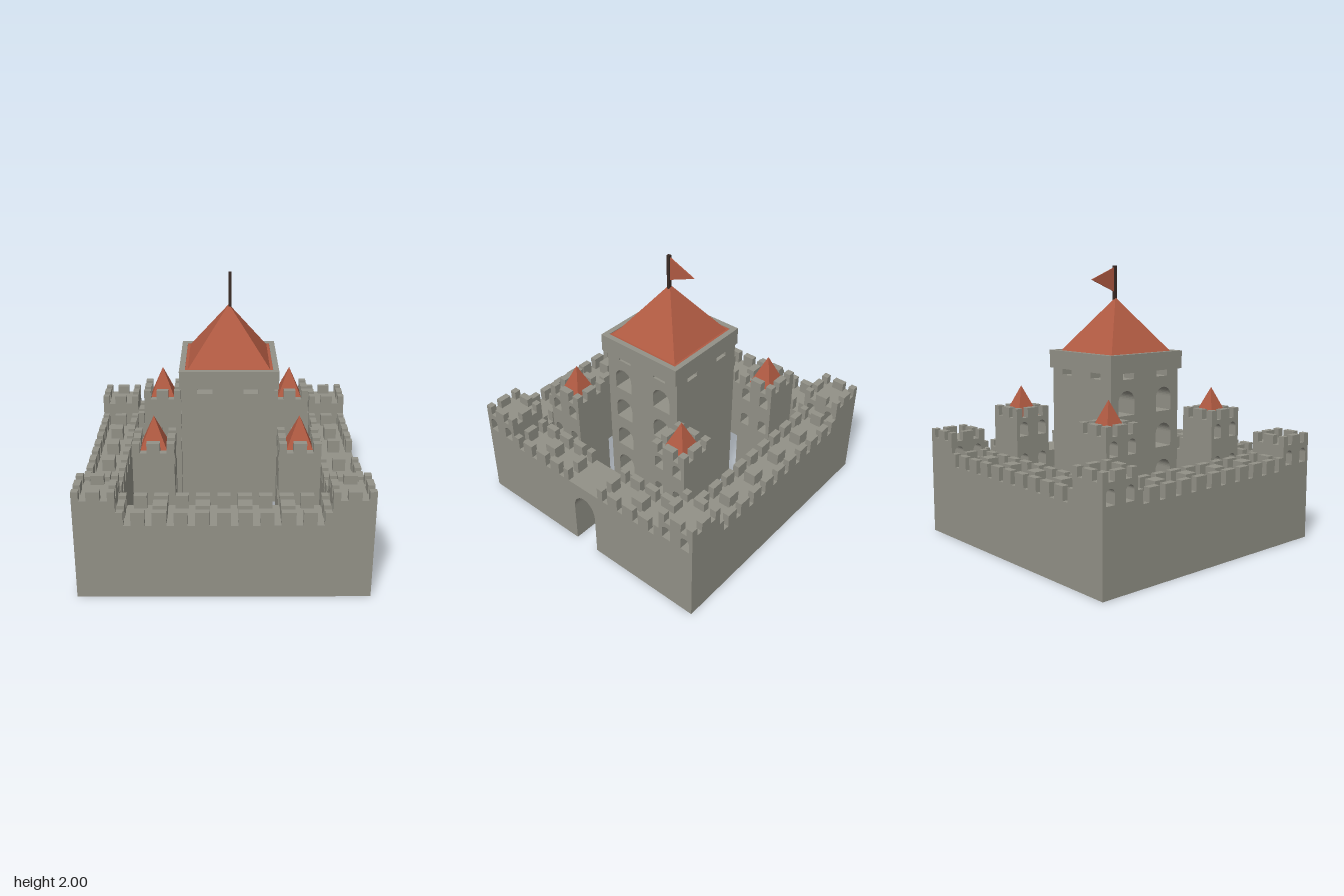
import * as THREE from 'three';

const paint = (color) => new THREE.MeshStandardMaterial({ color, flatShading: true });
const stone = paint(0x929187);
const red = paint(0xb05a42);
const wood = paint(0x3a2b25);

function add(parent, name, geometry, material = stone) {
  const mesh = new THREE.Mesh(geometry, material);
  mesh.name = name;
  parent.add(mesh);
  return mesh;
}

function box(parent, name, w, h, d, x, y0, z, material) {
  const mesh = add(parent, name, new THREE.BoxGeometry(w, h, d), material);
  mesh.position.set(x, y0 + h / 2, z);
  return mesh;
}

// Outline of an arched opening, rise = height of the curved top
function arch(path, cx, y0, w, h, rise = w / 2) {
  const r = w / 2;
  path.moveTo(cx - r, y0);
  path.lineTo(cx + r, y0);
  path.lineTo(cx + r, y0 + h - rise);
  path.absellipse(cx, y0 + h - rise, r, rise, 0, Math.PI, false);
  path.lineTo(cx - r, y0);
  return path;
}

// Profile in the z-y plane extruded along x and centred on x = 0
function extrudeX(shape, length) {
  const g = new THREE.ExtrudeGeometry(shape, { depth: length, bevelEnabled: false, curveSegments: 10 });
  return g.translate(0, 0, -length / 2).rotateY(Math.PI / 2);
}

// Square block with mirrored pairs of arched windows running through it in x
function windowedBlock(size, y0, y1, offset, w, h, rows) {
  const s = size / 2;
  const shape = new THREE.Shape();
  shape.moveTo(-s, y0).lineTo(s, y0).lineTo(s, y1).lineTo(-s, y1).closePath();
  for (const y of rows)
    for (const side of [-1, 1]) shape.holes.push(arch(new THREE.Path(), side * offset, y, w, h));
  return extrudeX(shape, size);
}

// Four corner and four middle merlons around a square top
function merlons(parent, size, y0, h, corner, middle, thick = corner) {
  for (const i of [-1, 0, 1])
    for (const j of [-1, 0, 1]) {
      if (!i && !j) continue;
      const w = i ? (j ? corner : thick) : middle;
      const d = j ? (i ? corner : thick) : middle;
      box(parent, 'merlon', w, h, d, i * (size - w) / 2, y0, j * (size - d) / 2);
    }
}

function pyramid(parent, name, width, h, y0) {
  const g = new THREE.ConeGeometry(width / Math.SQRT2, h, 4).rotateY(Math.PI / 4);
  add(parent, name, g, red).position.y = y0 + h / 2;
}

function part(parent, name, x = 0, z = 0) {
  const g = new THREE.Group();
  g.name = name;
  g.position.set(x, 0, z);
  parent.add(g);
  return g;
}

const CELL = 0.283, HALF = CELL * 3.5, INNER = CELL * 2.5, WALL = 0.545;

function buildWalls(castle) {
  const walls = part(castle, 'outerWalls');
  const mid = (HALF + INNER) / 2;
  for (const s of [-1, 1]) box(walls, 'longWall', HALF * 2, WALL, CELL, 0, 0, s * mid);
  box(walls, 'plainWall', CELL, WALL, INNER * 2, -mid, 0, 0);

  // Wall with the gateway cut through to the ground
  const gate = new THREE.Shape();
  gate.moveTo(-INNER, 0).lineTo(-INNER, WALL).lineTo(INNER, WALL).lineTo(INNER, 0).lineTo(0.1, 0);
  gate.lineTo(0.1, 0.32);
  gate.absellipse(0, 0.32, 0.1, 0.125, 0, Math.PI, false);
  gate.lineTo(-0.1, 0);
  gate.closePath();
  add(walls, 'gateWall', extrudeX(gate, CELL)).position.x = mid;

  // Square cells of battlements, raised into turrets at the corners
  for (let i = -3; i <= 3; i++)
    for (let j = -3; j <= 3; j++) {
      const ex = Math.abs(i) === 3, ez = Math.abs(j) === 3;
      if (!(ex || ez) || (i === 3 && j === 0)) continue;
      const cell = part(walls, ex && ez ? 'cornerTurret' : 'battlement', i * CELL, j * CELL);
      if (ex && ez) add(cell, 'turretBody', windowedBlock(CELL, WALL, 0.725, 0.079, 0.07, 0.105, [0.58]));
      merlons(cell, CELL, ex && ez ? 0.725 : WALL, ex && ez ? 0.065 : 0.095, 0.048, 0.09);
    }
}

function buildTower(castle, x, z) {
  const tower = part(castle, 'innerTower', x, z);
  add(tower, 'towerBody', windowedBlock(0.285, 0, 0.9, 0.08, 0.073, 0.105, [0.765, 0.53]));
  merlons(tower, 0.285, 0.9, 0.07, 0.052, 0.09);
  pyramid(tower, 'towerRoof', 0.18, 0.22, 0.9);
}

function buildKeep(castle) {
  const keep = part(castle, 'keep', 0.028, 0.003);
  add(keep, 'keepBody', windowedBlock(0.65, 0, 1.21, 0.18, 0.15, 0.175, [0.955, 0.69, 0.42, 0.15]));
  merlons(keep, 0.65, 1.21, 0.045, 0.11, 0.215);

  // Overhanging cap with a raised rim
  const top = part(castle, 'keepTop', 0.036, 0.012);
  box(top, 'cap', 0.69, 0.11, 0.69, 0, 1.255, 0);
  for (const s of [-1, 1]) {
    box(top, 'rim', 0.69, 0.02, 0.04, 0, 1.365, s * 0.325);
    box(top, 'rim', 0.04, 0.02, 0.61, s * 0.325, 1.365, 0);
  }
  box(top, 'roofBase', 0.61, 0.015, 0.61, 0, 1.365, 0, red);
  pyramid(top, 'keepRoof', 0.57, 0.39, 1.38);

  // Flagpole and pennant
  box(top, 'flagpole', 0.022, 0.26, 0.022, 0.008, 1.74, 0, wood);
  const flag = new THREE.Shape();
  flag.moveTo(0, 1.81).lineTo(0.22, 1.9).lineTo(0, 1.99).closePath();
  add(top, 'pennant', extrudeX(flag, 0.008), red).position.x = 0.008;
}

export function createModel() {
  const castle = new THREE.Group();
  castle.name = 'castle';
  buildWalls(castle);
  for (const x of [-0.478, 0.516]) for (const z of [-0.5, 0.495]) buildTower(castle, x, z);
  buildKeep(castle);
  return castle;
}
